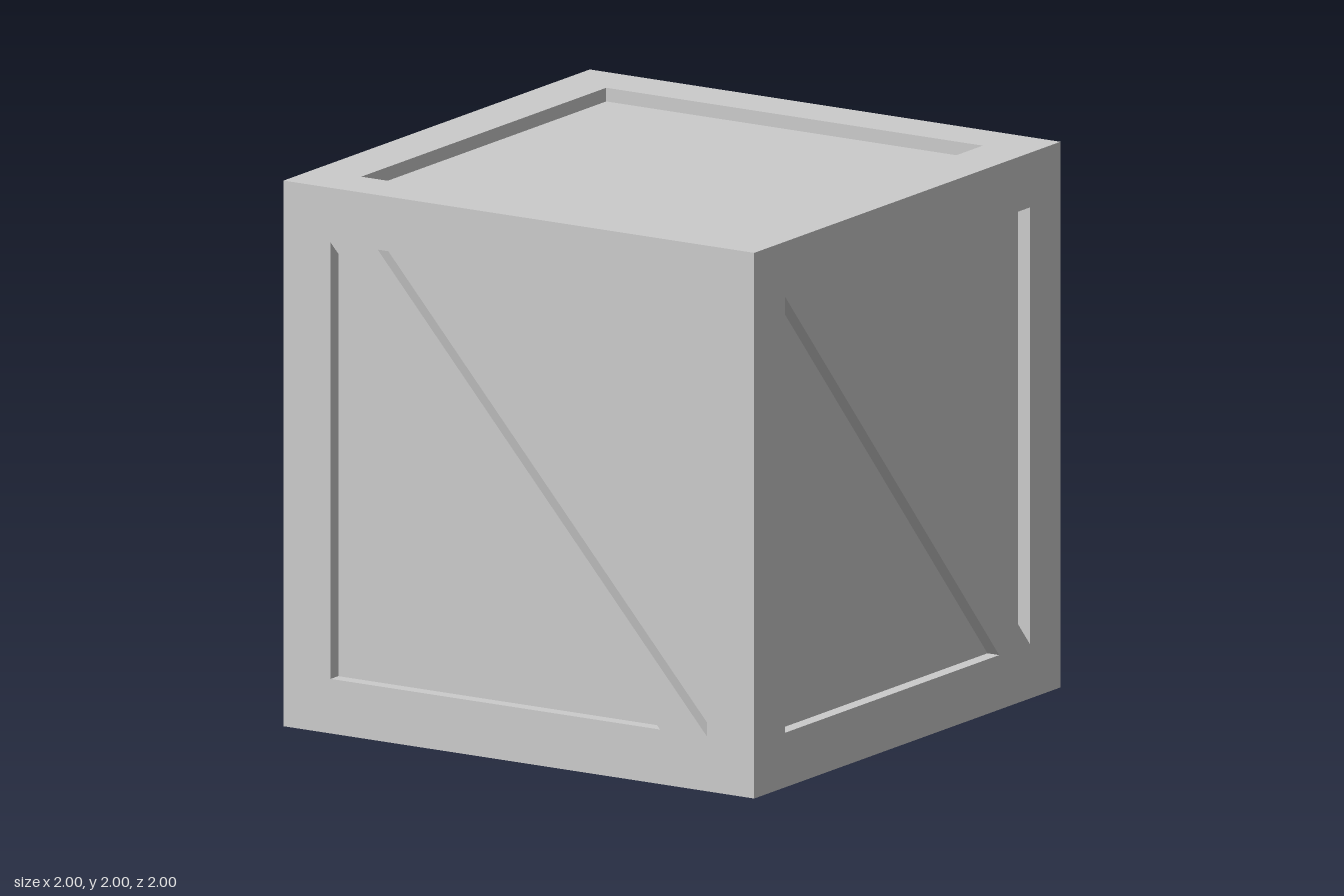
import * as THREE from 'three';

const DEPTH = 0.05; // how far the panels sit behind the frame
const IN = 0.8;     // half width of the opening inside the frame

const polygon = (Type, points) => new Type(points.map(([x, y]) => new THREE.Vector2(x, y)));

// Square frame with the given openings, its outer rim mitred to meet its neighbours
function frameGeometry(openings) {
  const shape = polygon(THREE.Shape, [[-1, -1], [1, -1], [1, 1], [-1, 1]]);
  shape.holes = openings.map((points) => polygon(THREE.Path, points));
  const geometry = new THREE.ExtrudeGeometry(shape, { depth: DEPTH, bevelEnabled: false });
  geometry.translate(0, 0, 1 - DEPTH);
  const p = geometry.attributes.position;
  for (let i = 0; i < p.count; i++) {
    if (p.getZ(i) > 1 - DEPTH / 2) continue;
    if (Math.abs(p.getX(i)) > 0.99) p.setX(i, p.getX(i) * (1 - DEPTH));
    if (Math.abs(p.getY(i)) > 0.99) p.setY(i, p.getY(i) * (1 - DEPTH));
  }
  geometry.computeVertexNormals();
  return geometry;
}

export function createModel() {
  const crate = new THREE.Group();
  crate.name = 'crate';
  const material = new THREE.MeshStandardMaterial({ color: 0xcccccc, flatShading: true });

  const add = (name, geometry, rx = 0, ry = 0) => {
    const mesh = new THREE.Mesh(geometry, material);
    mesh.name = name;
    mesh.position.y = 1;
    mesh.rotation.set(rx, ry, 0);
    crate.add(mesh);
  };

  // Recessed panels on all six sides
  const inner = 2 - 2 * DEPTH;
  add('panels', new THREE.BoxGeometry(inner, inner, inner));

  // Side frames, each with a diagonal brace between two triangular openings
  const braced = frameGeometry([
    [[-IN, IN], [0.6, -IN], [-IN, -IN]],
    [[-0.6, IN], [IN, IN], [IN, -IN]],
  ]);
  ['frontFrame', 'leftFrame', 'backFrame', 'rightFrame'].forEach((name, i) =>
    add(name, braced, 0, i * Math.PI / 2));

  // Top and bottom frames with one square opening
  const open = frameGeometry([[[-IN, -IN], [-IN, IN], [IN, IN], [IN, -IN]]]);
  add('topFrame', open, -Math.PI / 2);
  add('bottomFrame', open, Math.PI / 2);

  return crate;
}
